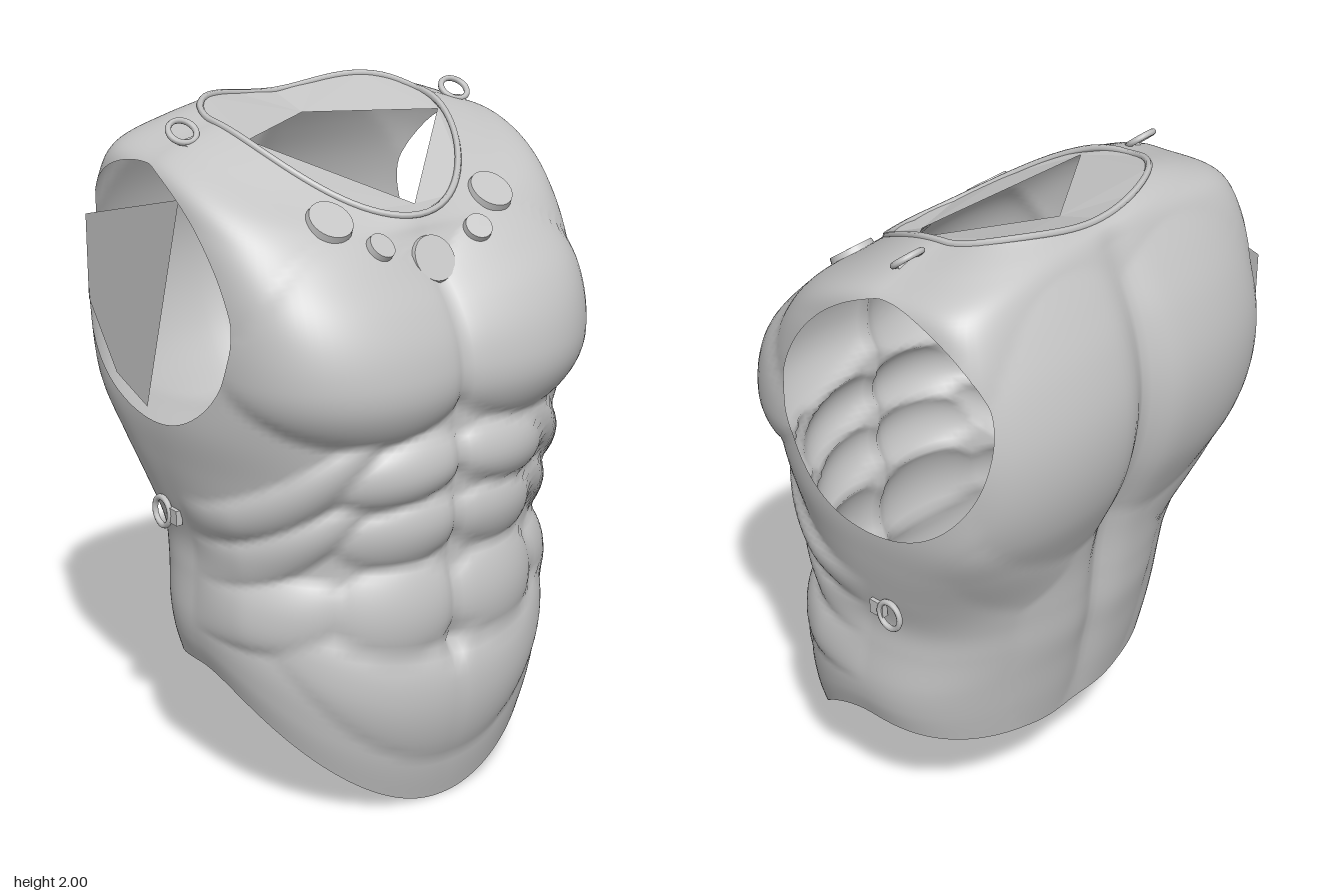
import * as THREE from 'three';
import { mergeVertices } from 'three/addons/utils/BufferGeometryUtils.js';

const metal = new THREE.MeshStandardMaterial({ color: 0xc4c4c4, side: THREE.DoubleSide });
metal.name = 'plain grey metal';

// Cross-sections from hem to neck:
// side y, half width, front y, front z, back y, back z, front squareness, back squareness, side z
const ROWS = [
  [0.43, 0.545, 0.01, 0.45, 0.33, -0.31, 2.4, 2.5, 0.02],
  [0.50, 0.565, 0.15, 0.485, 0.45, -0.33, 2.35, 2.5, 0.02],
  [0.58, 0.57, 0.35, 0.51, 0.58, -0.35, 2.3, 2.55, 0.02],
  [0.70, 0.555, 0.60, 0.495, 0.70, -0.375, 2.2, 2.6, 0.01],
  [0.80, 0.55, 0.78, 0.485, 0.82, -0.39, 2.15, 2.8, 0.00],
  [0.92, 0.58, 0.92, 0.50, 0.95, -0.41, 2.15, 3.2, -0.02],
  [1.05, 0.61, 1.05, 0.51, 1.10, -0.45, 2.3, 4, -0.05],
  [1.18, 0.63, 1.18, 0.505, 1.25, -0.49, 2.7, 5.5, -0.07],
  [1.32, 0.625, 1.30, 0.505, 1.40, -0.51, 3.2, 7, -0.08],
  [1.48, 0.62, 1.42, 0.485, 1.55, -0.51, 3.6, 8, -0.08],
  [1.64, 0.615, 1.52, 0.445, 1.70, -0.49, 3.9, 8, -0.08],
  [1.78, 0.61, 1.61, 0.39, 1.81, -0.46, 3.6, 7, -0.08],
  [1.88, 0.59, 1.68, 0.35, 1.90, -0.425, 2.8, 5, -0.09],
  [1.93, 0.49, 1.715, 0.335, 1.95, -0.395, 2.1, 3.2, -0.11],
  [1.965, 0.365, 1.74, 0.32, 1.97, -0.36, 1.85, 2.5, -0.12],
];

// Raised muscles: x, y, x radius, radius up, radius down, height, slope to the side, bend
const FRONT = [
  [0.27, 1.36, 0.33, 0.36, 0.19, 0.077, 0, 0],
  [0.17, 1.07, 0.20, 0.10, 0.09, 0.045, 0.15, 0],
  [0.16, 0.89, 0.19, 0.10, 0.10, 0.04, 0.1, 0],
  [0.17, 0.66, 0.20, 0.14, 0.15, 0.045, 0, 0],
  [0.45, 1.01, 0.19, 0.09, 0.09, 0.036, 0.9, 0],
  [0.46, 0.84, 0.17, 0.085, 0.085, 0.034, 0.75, 0],
  [0.47, 0.66, 0.16, 0.10, 0.11, 0.035, 0.2, 0],
  [0, 0.40, 0.52, 0.13, 0.24, 0.032, 0, -0.9],
];
const BACK = [
  [0.22, 1.46, 0.38, 0.45, 0.50, 0.075, 0, 0],
  [0.32, 1.05, 0.28, 0.20, 0.18, 0.02, -0.4, 0],
  [0.14, 0.75, 0.18, 0.50, 0.45, 0.02, 0, 0],
];

function muscle(list, x, y, sharpness) {
  let d = 0;
  for (const [cx, cy, rx, up, down, h, slope, bend] of list) {
    const dx = x - cx, dy = y - cy + slope * dx + bend * dx * dx;
    const q = (dx / rx) ** 2 + (dy / (dy > 0 ? up : down)) ** 2;
    if (q < 1) d = Math.max(d, h * Math.pow(1 - q, sharpness));
  }
  return d;
}

const bell = (v, s) => Math.exp(-((v / s) ** 2));

function section(t) {
  const f = Math.min(t, 0.99999) * (ROWS.length - 1), i = Math.floor(f), u = f - i;
  const at = k => ROWS[THREE.MathUtils.clamp(k, 0, ROWS.length - 1)];
  const [p, a, b, q] = [at(i - 1), at(i), at(i + 1), at(i + 2)];
  return a.map((v, k) => v + 0.5 * u * (b[k] - p[k] + u * (2 * p[k] - 5 * v + 4 * b[k] - q[k]
    + u * (3 * (v - b[k]) + q[k] - p[k]))));
}

// Point of the torso at height t and angle a (0 is the front)
function surface(t, a) {
  const [ys, w, yf, zf, yb, zb, nf, nb, zs] = section(t);
  const s = Math.sin(a), c = Math.cos(a), ac = Math.abs(c), front = c > 0, n = front ? nf : nb;
  const r = Math.pow(ac ** n + Math.abs(s) ** n, -1 / n);
  let y = ys + ((front ? yf : yb) - ys) * Math.pow(ac, front ? 2 - 0.5 * t : 2);
  // The neck edge peaks behind each shoulder
  if (!front) y += 0.12 * c * c * s * s * Math.pow(t, 10);
  const x = w * r * s, z = zs + ac * r * ((front ? zf : zb) - zs), ax = Math.abs(x);
  let d = front ? muscle(FRONT, ax, y, 0.75) : muscle(BACK, ax, y, 1.2);
  if (front) {
    d -= 0.015 * bell(x, 0.02) * bell(y - 1.0, 0.5);
    d -= 0.035 * bell(x, 0.03) * bell(y - 0.52, 0.035);
  } else d -= 0.04 * bell(x, 0.06) * bell(y - 1.25, 0.65);
  d *= Math.min(1, ac * 2.5) * Math.min(1, (1 - t) * 8);
  return new THREE.Vector3(x + d * s, y, z + d * c);
}

// Negative inside an arm opening
function armhole(p) {
  if (Math.abs(p.x) < 0.38) return 1;
  const u = (p.z + 0.11) / 0.37, v = (p.y - 1.525) / 0.357;
  return u * u + v * v + (u > 0 && v > 0 ? 0.6 : 0.2) * u * v - 1;
}

const NT = 110, NA = 160;
const grid = [];
for (let i = 0; i <= NT; i++) {
  grid.push(Array.from({ length: NA }, (_, j) => surface(i / NT, (j / NA) * Math.PI * 2)));
}

// Torso shell with both arm openings trimmed out of it
function shellGeometry() {
  const out = [];
  const clip = tri => {
    const poly = [];
    tri.forEach((p, k) => {
      const q = tri[(k + 1) % 3], fp = armhole(p), fq = armhole(q);
      if (fp >= 0) poly.push(p);
      if (fp * fq < 0) poly.push(p.clone().lerp(q, fp / (fp - fq)));
    });
    for (let k = 2; k < poly.length; k++) {
      for (const p of [poly[0], poly[k - 1], poly[k]]) out.push(p.x, p.y, p.z);
    }
  };
  for (let i = 0; i < NT; i++) for (let j = 0; j < NA; j++) {
    const k = (j + 1) % NA;
    const a = grid[i][j], b = grid[i][k], c = grid[i + 1][k], d = grid[i + 1][j];
    clip([a, b, c]);
    clip([a, c, d]);
  }
  const g = new THREE.BufferGeometry();
  g.setAttribute('position', new THREE.Float32BufferAttribute(out, 3));
  const merged = mergeVertices(g, 1e-5);
  merged.computeVertexNormals();
  return merged;
}

// Flat-sided sheet from triangles of points
function sheet(points) {
  const g = new THREE.BufferGeometry().setFromPoints(points);
  g.computeVertexNormals();
  return g;
}

// Nearest place on the shell and its outward direction
function anchor(x, y, z) {
  const target = new THREE.Vector3(x, y, z);
  let best = Infinity, bi = 1, bj = 0;
  for (let i = 1; i < NT; i++) for (let j = 0; j < NA; j++) {
    const d = grid[i][j].distanceToSquared(target);
    if (d < best) { best = d; bi = i; bj = j; }
  }
  const across = grid[bi][(bj + 2) % NA].clone().sub(grid[bi][(bj + NA - 2) % NA]);
  const up = grid[bi + 1][bj].clone().sub(grid[bi - 1][bj]);
  return { point: grid[bi][bj], normal: across.cross(up).normalize() };
}

export function createModel() {
  const model = new THREE.Group();
  const add = (geometry, name, parent = model) => {
    const m = new THREE.Mesh(geometry, metal);
    m.name = name;
    parent.add(m);
    return m;
  };

  add(shellGeometry(), 'breastplateShell');

  // Rolled edge of the neck opening
  const neck = grid[NT];
  const rim = new THREE.CatmullRomCurve3(neck.filter((_, j) => j % 4 === 0), true);
  add(new THREE.TubeGeometry(rim, 80, 0.01, 6, true), 'neckRim');

  // Angular sheets inside the neck opening, leaving a diamond gap
  const at = f => neck[Math.round(f * NA) % NA];
  const gap = [[0.04, 1.75, 0.25], [0.34, 1.93, -0.02], [0, 1.93, -0.22], [-0.33, 1.93, -0.02]]
    .map(p => new THREE.Vector3(...p));
  const tris = [];
  for (let k = 0; k < 4; k++) {
    const f = k / 4, g0 = gap[k], g1 = gap[(k + 1) % 4];
    tris.push(g0, at(f + 0.125), g1);
    for (let m = 0; m < 4; m++) tris.push(m < 2 ? g0 : g1, at(f + m / 16), at(f + (m + 1) / 16));
  }
  add(sheet(tris), 'neckLining');

  // Partial sheet across the right arm opening
  const edge = [[0.02, 1.81], [-0.17, 1.17], [-0.33, 1.23], [-0.47, 1.42], [-0.47, 1.67]]
    .map(([z, y]) => new THREE.Vector3(-0.585, y, z));
  const fan = [];
  for (let k = 2; k < edge.length; k++) fan.push(edge[0], edge[k - 1], edge[k]);
  add(sheet(fan), 'armholeLining');

  // Round medallions below the neck
  const medals = [[0, 1.63, 0.385, 0.07]];
  for (const s of [-1, 1]) medals.push([s * 0.165, 1.675, 0.355, 0.042], [s * 0.28, 1.725, 0.27, 0.068]);
  for (const [x, y, z, r] of medals) {
    const { point, normal } = anchor(x, y, z);
    const disc = add(new THREE.CylinderGeometry(r * 0.94, r, 0.02, 28), 'medallion');
    disc.position.copy(point).addScaledVector(normal, 0.006);
    disc.quaternion.setFromUnitVectors(new THREE.Vector3(0, 1, 0), normal);
  }

  // Strap rings on the shoulders and flanks
  for (const s of [-1, 1]) {
    const shoulder = new THREE.Group();
    shoulder.name = 'shoulderRing';
    shoulder.position.set(s * 0.48, 1.957, -0.115);
    shoulder.rotation.set(-Math.PI / 3.6, 0, -s * 0.2);
    const flank = new THREE.Group();
    flank.name = 'flankRing';
    flank.position.set(anchor(s * 0.58, 0.87, -0.11).point.x + s * 0.02, 0.87, -0.11);
    flank.rotation.set(0, s * Math.PI / 2, -s * Math.PI / 2);
    for (const g of [shoulder, flank]) {
      const ring = add(new THREE.TorusGeometry(0.043, 0.009, 8, 24), 'ring', g);
      ring.scale.y = 0.9;
      const tab = add(new THREE.BoxGeometry(0.045, 0.05, 0.02), 'ringTab', g);
      tab.position.set(0, -0.05, -0.008);
      model.add(g);
    }
  }
  return model;
}
